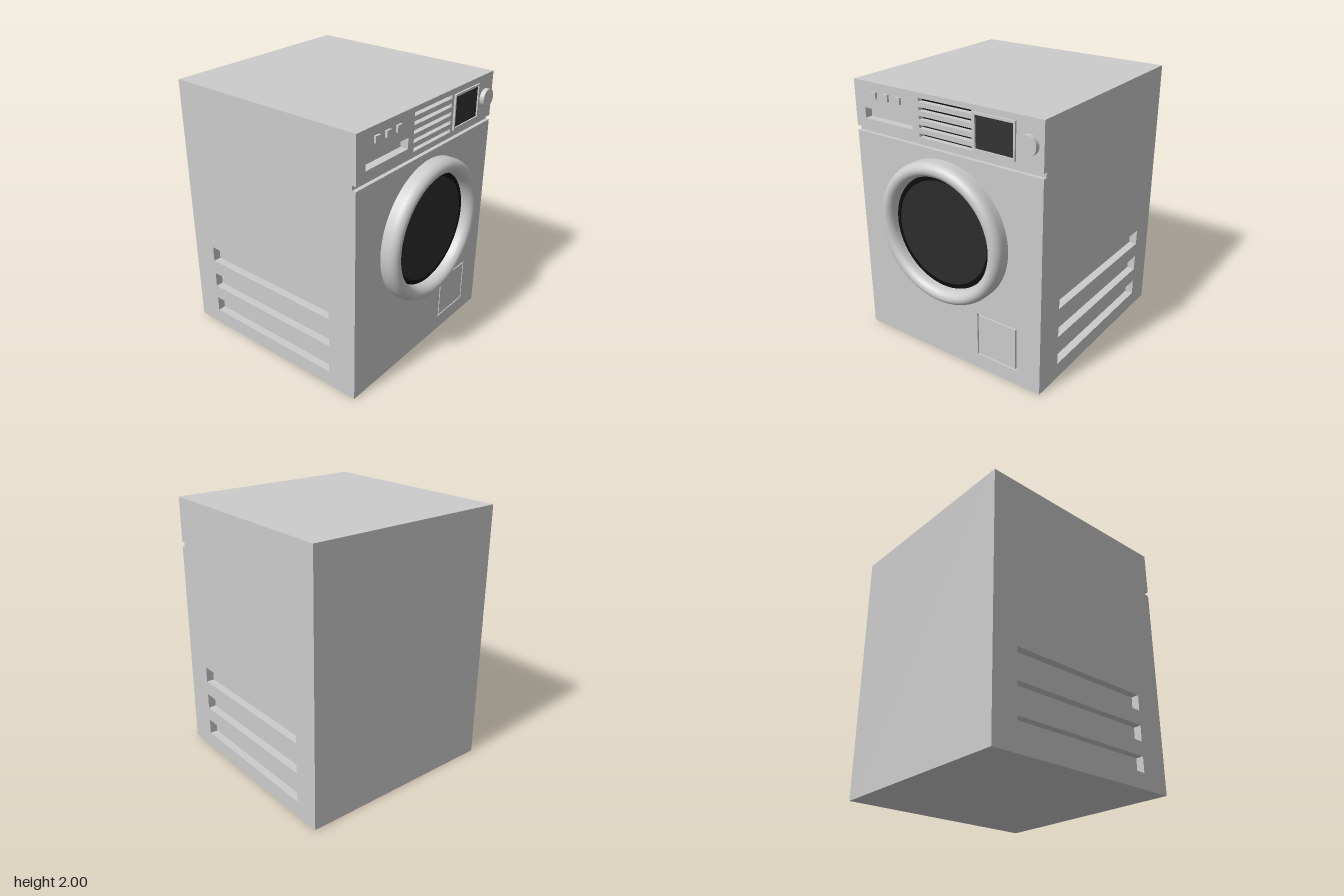
import * as THREE from 'three';

const paint = (color) => new THREE.MeshStandardMaterial({ color });
const grey = paint(0xcccccc);
const black = paint(0x0d0d0d);
const darkGlass = paint(0x2c2c2c);

const DEPTH = 0.06;   // thickness of the outer panels
const FRONT = 0.74;   // x of the door face
const BACK = -0.86;
const HALF = 0.795;   // half width along z

function add(parent, name, geometry, material = grey) {
  const mesh = new THREE.Mesh(geometry, material);
  mesh.name = name;
  parent.add(mesh);
  return mesh;
}

// Box given by its limits
function block(parent, name, x0, x1, y0, y1, z0, z1, material) {
  const mesh = add(parent, name, new THREE.BoxGeometry(x1 - x0, y1 - y0, z1 - z0), material);
  mesh.position.set((x0 + x1) / 2, (y0 + y1) / 2, (z0 + z1) / 2);
  return mesh;
}

// Rectangular plate with rectangular holes, each rectangle as [u0, u1, y0, y1]
function plate(outer, holes, depth) {
  const trace = (path, [a, b, c, d]) =>
    path.moveTo(a, c).lineTo(b, c).lineTo(b, d).lineTo(a, d).closePath();
  const shape = trace(new THREE.Shape(), outer);
  for (const hole of holes) shape.holes.push(trace(new THREE.Path(), hole));
  return new THREE.ExtrudeGeometry(shape, { depth, bevelEnabled: false });
}

// Plate facing +x, where u runs along -z
function facePlate(parent, name, outer, holes, depth, x) {
  const geometry = plate(outer, holes, depth).rotateY(Math.PI / 2).translate(x, 0, 0);
  return add(parent, name, geometry);
}

export function createModel() {
  const model = new THREE.Group();
  model.name = 'washingMachine';
  const inner = FRONT - DEPTH;

  // Cabinet core and the strip at the bottom of the horizontal groove
  block(model, 'cabinetCore', BACK, inner, 0, 2, -HALF + DEPTH, HALF - DEPTH);
  block(model, 'grooveStrip', inner, 0.71, 1.625, 1.66, -HALF, HALF);

  // Side panels with three long recesses each
  const vents = [0.12, 0.35, 0.583].map((y) => [-0.66, 0.51, y, y + 0.12]);
  for (const [name, z] of [['leftSidePanel', HALF - DEPTH], ['rightSidePanel', -HALF]]) {
    add(model, name, plate([BACK, inner, 0, 2], vents, DEPTH)).position.z = z;
  }

  // Lower front with the service hatch
  const hatch = [0.26, 0.6, 0.117, 0.465];
  const gap = 0.011;
  facePlate(model, 'lowerFront', [-HALF, HALF, 0, 1.625], [hatch], DEPTH, inner);
  block(model, 'hatchGap', inner, inner + 0.03, hatch[2], hatch[3], -hatch[1], -hatch[0], black);
  block(model, 'serviceHatch', inner, FRONT, hatch[2] + gap, hatch[3] - gap,
    -hatch[1] + gap, -hatch[0] - gap);

  // Control panel with grille slots and drawer recess
  const slots = [0, 1, 2, 3, 4].map((i) => 1.69 + i * 0.0615).map((y) => [-0.2, 0.244, y, y + 0.026]);
  const drawer = [-0.705, -0.262, 1.73, 1.808];
  facePlate(model, 'controlPanel', [-HALF, HALF, 1.66, 2], [...slots, drawer], DEPTH, inner);
  block(model, 'grilleBacking', inner, inner + 0.02, 1.68, 1.975, -0.25, 0.21, black);

  // Push buttons
  for (const z of [0.602, 0.491, 0.379]) {
    block(model, 'button', FRONT - 0.01, 0.757, 1.889, 1.936, z - 0.024, z + 0.024);
  }

  // Display
  facePlate(model, 'displayFrame', [0.27, 0.59, 1.695, 1.957], [[0.281, 0.578, 1.714, 1.941]],
    0.025, FRONT - 0.01);
  block(model, 'displayScreen', FRONT - 0.01, 0.744, 1.71, 1.945, -0.582, -0.277, paint(0x333333));

  // Dial
  const dial = add(model, 'dial', new THREE.CylinderGeometry(0.068, 0.068, 0.045, 40));
  dial.rotation.z = -Math.PI / 2;
  dial.position.set(0.752, 1.826, -0.69);

  // Round door, lathed around its own axis and turned to face +x
  const door = new THREE.Group();
  door.name = 'door';
  door.rotation.z = -Math.PI / 2;
  door.position.set(FRONT, 1.04, 0);
  model.add(door);

  const profile = [new THREE.Vector2(0.53, -0.01), new THREE.Vector2(0.53, 0.03)];
  for (let i = 0; i <= 16; i++) {
    const a = (i / 16) * Math.PI;
    profile.push(new THREE.Vector2(0.476 + 0.054 * Math.cos(a), 0.055 + 0.065 * Math.sin(a)));
  }
  profile.push(new THREE.Vector2(0.42, 0.02));
  const ring = new THREE.LatheGeometry(profile, 72);
  add(door, 'doorRing', ring, new THREE.MeshStandardMaterial({ color: 0xcccccc, side: THREE.DoubleSide }));
  add(door, 'doorSeal', new THREE.CylinderGeometry(0.423, 0.423, 0.04, 72), black).position.y = 0.015;
  add(door, 'doorGlass', new THREE.CylinderGeometry(0.385, 0.385, 0.03, 72), darkGlass).position.y = 0.026;

  return model;
}
